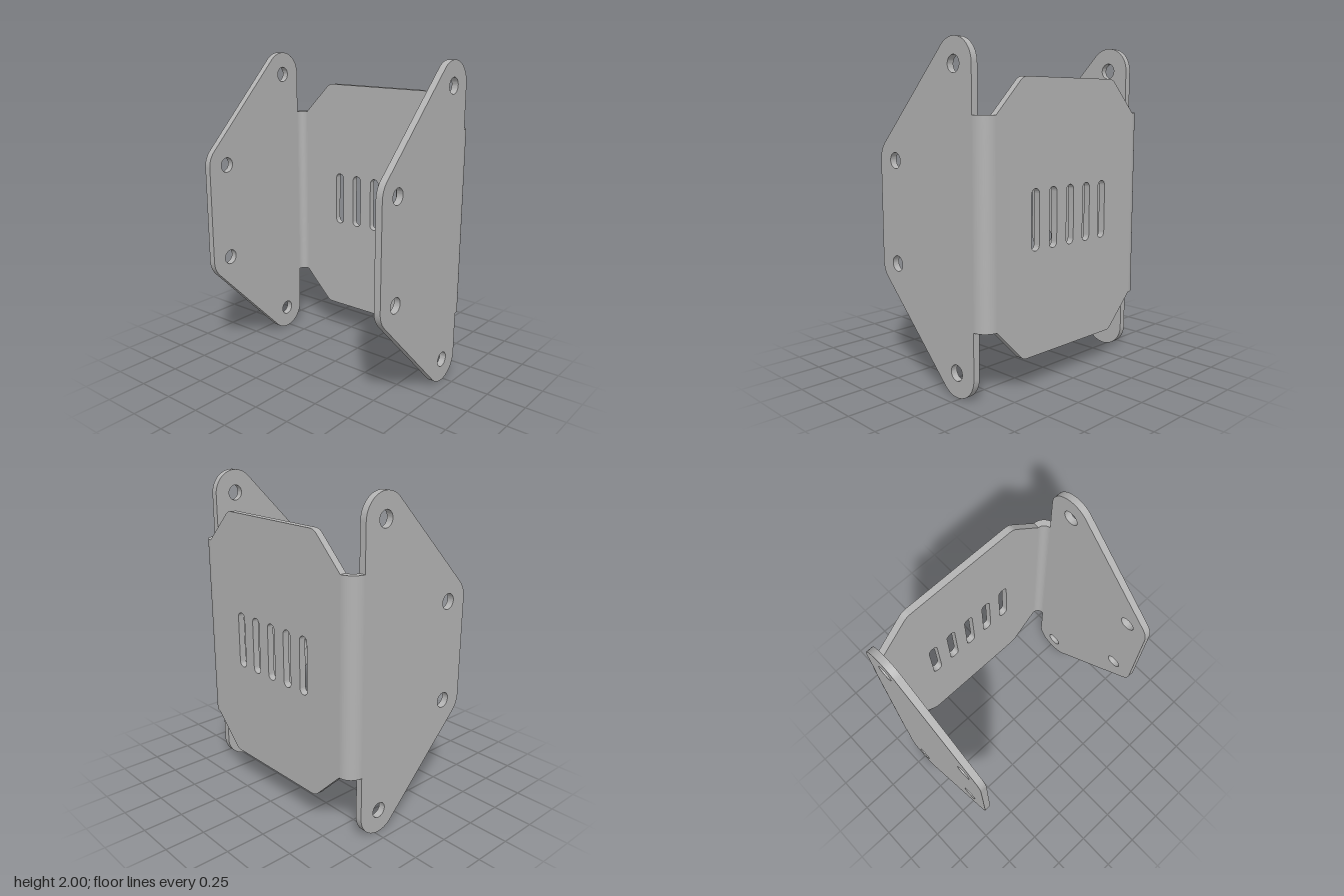
import * as THREE from 'three';
import { toCreasedNormals } from 'three/addons/utils/BufferGeometryUtils.js';

const T = 0.042;            // sheet thickness
const X = 0.46, Z = 0.685;  // outer half extents
const R = 0.09;             // outer bend radius
const BEND_H = 0.5875;      // half height of the bends

const extrude = (shape, depth) => toCreasedNormals(
  new THREE.ExtrudeGeometry(shape, { depth, bevelEnabled: false, curveSegments: 20 }), 0.5);

function roundHole(x, y, r) {
  const p = new THREE.Path();
  p.absarc(x, y, r, 0, Math.PI * 2, true);
  return p;
}

function slotHole(x, halfLength, r) {
  const p = new THREE.Path();
  p.absarc(x, halfLength - r, r, 0, Math.PI, false);
  p.absarc(x, -halfLength + r, r, Math.PI, Math.PI * 2, false);
  p.closePath();
  return p;
}

// Flange outline: four rounded corners, each concentric with a bolt hole
function flangeGeometry() {
  const r = 0.145, q = Math.PI / 4;
  const tip = [X - R - r, 0.855], rear = [-X + r, 0.3125];
  const s = new THREE.Shape();
  s.absarc(tip[0], tip[1], r, 0, 3 * q, false);
  s.absarc(rear[0], rear[1], r, 3 * q, 4 * q, false);
  s.absarc(rear[0], -rear[1], r, 4 * q, 5 * q, false);
  s.absarc(tip[0], -tip[1], r, 5 * q, 8 * q, false);
  s.closePath();
  for (const [x, y] of [tip, rear]) {
    s.holes.push(roundHole(x, y, 0.048), roundHole(x, -y, 0.048));
  }
  return extrude(s, T).translate(0, 0, Z - T);
}

// Quarter-round bend joining a flange to the web
function bendGeometry() {
  const s = new THREE.Shape();
  s.absarc(0, 0, R, -Math.PI / 2, 0, false);
  s.absarc(0, 0, R - T, 0, -Math.PI / 2, true);
  s.closePath();
  return extrude(s, BEND_H * 2).rotateX(-Math.PI / 2).translate(X - R, -BEND_H, Z - R);
}

// Web plate with chamfered, slightly rounded corners and five vent slots
function webGeometry() {
  const w = Z - R, h = 0.7925, c = 0.39, e = 0.03;
  const s = new THREE.Shape();
  s.moveTo(w, -BEND_H);
  s.lineTo(w, BEND_H);
  s.lineTo(c + e * 0.7, h - e * 0.7);
  s.quadraticCurveTo(c, h, c - e, h);
  s.lineTo(-c + e, h);
  s.quadraticCurveTo(-c, h, -c - e * 0.7, h - e * 0.7);
  s.lineTo(-w, BEND_H);
  s.lineTo(-w, -BEND_H);
  s.lineTo(-c - e * 0.7, -h + e * 0.7);
  s.quadraticCurveTo(-c, -h, -c + e, -h);
  s.lineTo(c - e, -h);
  s.quadraticCurveTo(c, -h, c + e * 0.7, -h + e * 0.7);
  s.closePath();
  for (let i = -2; i <= 2; i++) s.holes.push(slotHole(i * 0.147, 0.178, 0.032));
  return extrude(s, T).rotateY(Math.PI / 2).translate(X - T, 0, 0);
}

export function createModel() {
  const steel = new THREE.MeshStandardMaterial({ color: 0xb3b3b3 });
  steel.name = 'grey steel';

  const model = new THREE.Group();
  model.name = 'mountingBracket';
  const add = (parent, name, geometry) => {
    const mesh = new THREE.Mesh(geometry, steel);
    mesh.name = name;
    parent.add(mesh);
  };

  const body = new THREE.Group();
  body.name = 'bentSheet';
  body.position.y = 1;
  model.add(body);
  add(body, 'ventedWeb', webGeometry());

  // Front and back sides are the same part turned over
  const flange = flangeGeometry(), bend = bendGeometry();
  for (const [name, turn] of [['front', 0], ['back', Math.PI]]) {
    const side = new THREE.Group();
    side.name = name + 'Side';
    side.rotation.x = turn;
    add(side, name + 'Flange', flange);
    add(side, name + 'Bend', bend);
    body.add(side);
  }
  return model;
}
